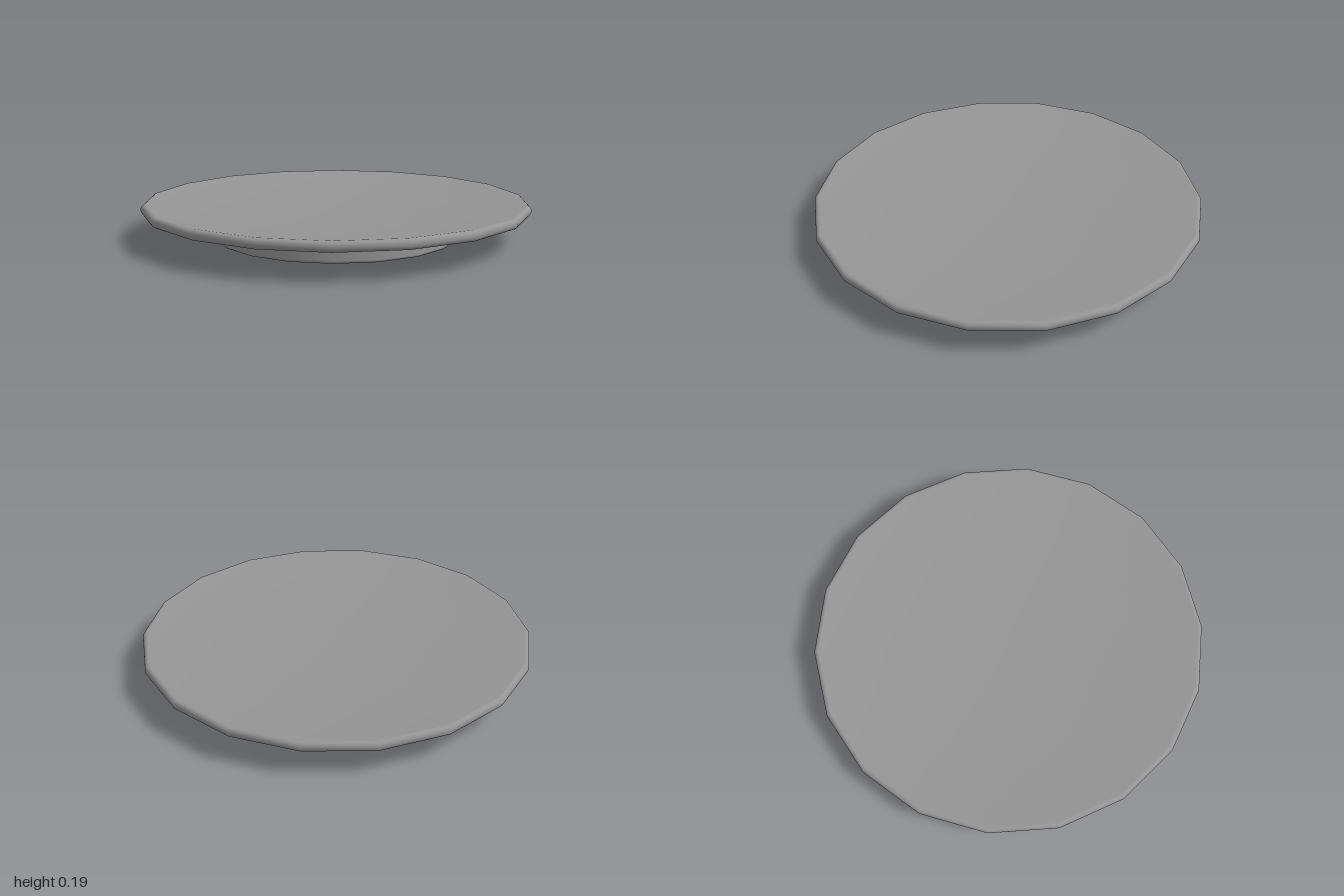
import * as THREE from 'three';
import { mergeGeometries } from 'three/addons/utils/BufferGeometryUtils.js';

const SIDES = 18;

// Points along a rounded profile edge, angles in degrees from outward towards up.
function arc(r, y, radius, from, to, steps = 5) {
  return Array.from({ length: steps + 1 }, (_, i) => {
    const a = THREE.MathUtils.degToRad(from + (to - from) * i / steps);
    return [r + radius * Math.cos(a), y + radius * Math.sin(a)];
  });
}

// Revolves each profile strip on its own, so strips are smooth and their joints stay sharp.
function revolve(name, strips, material) {
  const parts = strips.map((strip) => new THREE.LatheGeometry(
    strip.map(([r, y]) => new THREE.Vector2(r, y)), SIDES, Math.PI / 2));
  const mesh = new THREE.Mesh(mergeGeometries(parts), material);
  mesh.name = name;
  return mesh;
}

export function createModel() {
  const group = new THREE.Group();
  group.name = 'footedPlate';
  const material = new THREE.MeshStandardMaterial({ color: 0x959595 });

  // Broad plate: shallow conical underside, rounded rim, gently dished top
  group.add(revolve('plate', [[
    [0.628, 0.107],
    ...arc(0.977, 0.163, 0.023, -85, 0),
    ...arc(0.977, 0.169, 0.023, 0, 95),
    [0.62, 0.157],
    [0, 0.152],
  ]], material));

  // Foot ring: recessed ceiling, inner wall, lip with rounded outer edge, outer wall
  group.add(revolve('footRing', [
    [[0, 0.097], [0.563, 0.097]],
    [[0.563, 0.097], [0.563, 0]],
    [[0.563, 0], ...arc(0.613, 0.015, 0.015, -90, 0), [0.628, 0.107]],
  ], material));

  return group;
}
